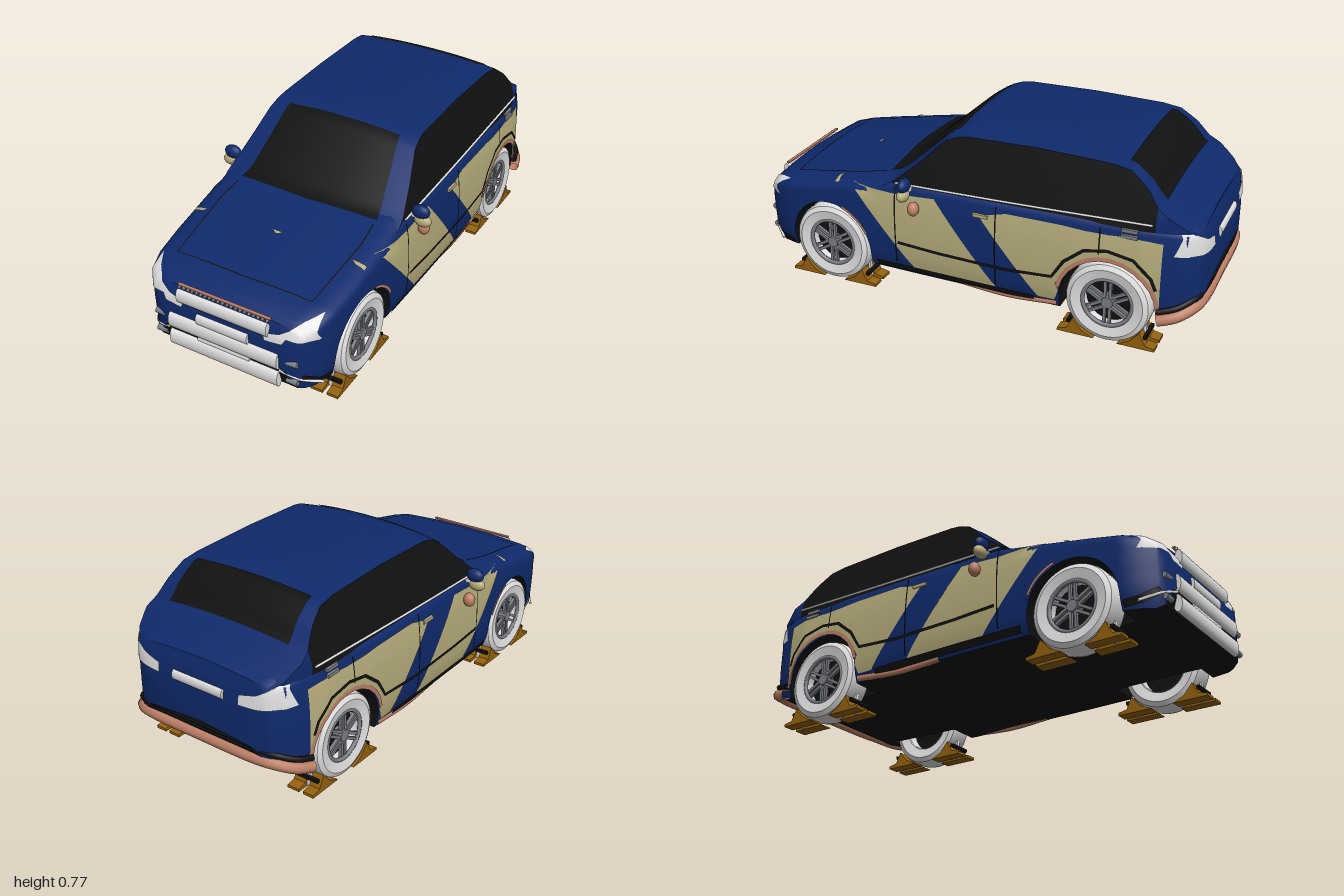
import * as THREE from 'three';
import { toCreasedNormals } from 'three/addons/utils/BufferGeometryUtils.js';

const mat = (name, color) => new THREE.MeshStandardMaterial({ name, color, side: THREE.DoubleSide });
const navy = mat('navy paint', 0x0f2a6c), black = mat('black', 0x111111), tan = mat('tan paint', 0xb8ae7c),
  white = mat('white', 0xe2e2e2), salmon = mat('salmon', 0xbe8067), gold = mat('gold', 0x94620f), grey = mat('rim grey', 0x7d8086);

// Linear lookup in a table of [key, value] with rising keys
const look = (t, k) => {
  if (k <= t[0][0]) return t[0][1];
  for (let i = 1; i < t.length; i++) if (k <= t[i][0]) {
    const [a, va] = t[i - 1], [b, vb] = t[i];
    return va + (vb - va) * (k - a) / (b - a);
  }
  return t[t.length - 1][1];
};
const WIDTH = [[-.985, .27], [-.965, .33], [-.92, .38], [-.85, .407], [-.75, .425], [-.5, .435], [-.1, .435], [.2, .432], [.5, .426], [.7, .417], [.83, .405], [.9, .385], [.96, .335], [.98, .28]];
const TOP = [[-.985, .42], [-.975, .48], [-.96, .53], [-.93, .55], [-.85, .56], [.3, .55], [.4, .53], [.6, .492], [.83, .45], [.9, .432], [.95, .405], [.97, .36], [.98, .3]];
const FLOOR = [[-.985, .25], [-.97, .2], [-.9, .16], [-.75, .12], [-.4, .11], [.8, .11], [.93, .105], [.96, .12], [.975, .17], [.98, .2]];
const SIDE = [[.1, .93], [.15, .975], [.2, .99], [.3, 1], [.4, .995], [.45, .985], [.5, .97], [.55, .94]];
const ROOF_MID = [[-.96, .535], [-.88, .585], [-.8, .64], [-.75, .705], [-.68, .752], [-.6, .764], [-.4, .772], [-.1, .772], [.05, .764], [.1, .747], [.2, .658], [.3, .572], [.34, .547], [.4, .525]];
const ROOF_EDGE = [[-.96, .5], [-.88, .562], [-.8, .615], [-.75, .68], [-.68, .733], [-.6, .746], [-.3, .755], [0, .75], [.05, .742], [.1, .72], [.2, .622], [.3, .535], [.36, .5], [.4, .48]];
const WHEEL_Z = .625, WHEEL_Y = .175, ARCH = .195;

const sideX = (y, z) => look(WIDTH, z) * look(SIDE, y);
const sideBottom = z => {
  const d = Math.abs(Math.abs(z) - WHEEL_Z);
  return d < ARCH ? WHEEL_Y + Math.sqrt(ARCH * ARCH - d * d) : look(FLOOR, z);
};

// Skin between rings of [x, y, z]
function loft(rings, crease = .6) {
  const n = rings[0].length, idx = [];
  for (let i = 0; i < rings.length - 1; i++) for (let j = 0; j < n - 1; j++) {
    const a = i * n + j, b = a + n;
    idx.push(a, b, a + 1, b, b + 1, a + 1);
  }
  const g = new THREE.BufferGeometry();
  g.setAttribute('position', new THREE.Float32BufferAttribute(rings.flat(2), 3));
  g.setIndex(idx);
  return toCreasedNormals(g, crease);
}
const mirrorRing = half => [...half, ...half.slice().reverse().map(([x, y, z]) => [-x, y, z])];

export function createModel() {
  const car = new THREE.Group();
  car.name = 'car';
  const add = (name, geo, m, parent = car) => {
    const mesh = new THREE.Mesh(geo, m);
    mesh.name = name;
    parent.add(mesh);
    return mesh;
  };
  const box = (name, m, w, h, d, x, y, z, parent) => add(name, new THREE.BoxGeometry(w, h, d).translate(x, y, z), m, parent);
  const tube = (name, m, pts, r, parent) => add(name, new THREE.TubeGeometry(
    new THREE.CatmullRomCurve3(pts.map(p => new THREE.Vector3(...p))), 40, r, 8), m, parent);

  // Stations along the body, doubled where the wheel arches begin
  const zs = [...WIDTH, ...TOP, ...FLOOR].map(p => p[0]);
  for (let z = -.95; z < .96; z += .05) zs.push(z);
  for (const c of [-WHEEL_Z, WHEEL_Z]) {
    for (let i = 0; i <= 16; i++) zs.push(c + (ARCH - .0002) * Math.cos(i * Math.PI / 16));
    zs.push(c - ARCH - .0002, c + ARCH + .0002);
  }
  const stations = [...new Set(zs)].sort((a, b) => a - b);

  // Painted shell: sides, rounded shoulders and bonnet
  const shellRing = z => {
    const top = look(TOP, z), bottom = sideBottom(z), half = [];
    const ry = Math.min(.055, (top - look(FLOOR, z)) * .45), yS = top - ry, X = sideX(yS, z), rx = z > .35 ? .1 : .07;
    for (let i = 0; i <= 9; i++) { const y = bottom + (yS - bottom) * i / 9; half.push([sideX(y, z), y, z]); }
    for (let i = 1; i <= 6; i++) {
      const a = i * Math.PI / 12;
      half.push([X - rx + rx * Math.cos(a), yS + (ry - .012) * Math.sin(a), z]);
    }
    for (let i = 1; i <= 4; i++) { const t = 1 - i / 4; half.push([(X - rx) * t, top - .012 * t * t, z]); }
    return mirrorRing(half);
  };
  const rings = stations.map(shellRing);
  const cap = r => r.map(p => [0, .27, p[2]]);
  rings.unshift(cap(rings[0]));
  rings.push(cap(rings[rings.length - 1]));
  const shell = add('bodyShell', loft(rings), navy);

  // Underbody with wheel wells
  const under = add('underbody', loft(stations.map(z => {
    const f = look(FLOOR, z), b = sideBottom(z), w = sideX(b, z), xi = Math.min(.27, w * .9);
    return mirrorRing([[w, b, z], [xi, b, z], [xi, f, z], [0, f, z]]);
  }), .3), black);

  // Cabin: roof, side glass and rear quarter panels
  const cabinX = (y, z) => Math.min(.408 - (y - .53) * .32, look(WIDTH, z) * .96);
  const range = (a, b, n) => Array.from({ length: n + 1 }, (_, i) => a + (b - a) * i / n);
  const roof = add('roof', loft(range(-.96, .4, 68).map(z => {
    const e = look(ROOF_EDGE, z), m = look(ROOF_MID, z), x = cabinX(e, z);
    return range(-1, 1, 16).map(t => [x * t, m + (e - m) * Math.pow(Math.abs(t), 2.2), z]);
  })), navy);
  const left = new THREE.Group();
  left.name = 'leftSide';
  car.add(left);
  const cabinSide = (a, b) => loft(range(a, b, 50).map(z => {
    const e = Math.max(.52, look(ROOF_EDGE, z));
    return range(.52, e, 4).map(y => [cabinX(y, z), y, z]);
  }));
  add('sideGlass', cabinSide(-.8, .315), black, left);
  add('rearQuarter', cabinSide(-.95, -.8), navy, left);

  // Thin plates laid on the body: a mesh between two outlines, cast along one axis
  const caster = new THREE.Raycaster(), targets = [shell, under, roof];
  const place = {
    side: (a, b) => [[2, b, a], [-1, 0, 0]], front: (a, b) => [[a, b, 2], [0, 0, -1]],
    rear: (a, b) => [[a, b, -2], [0, 0, 1]], top: (a, b) => [[a, 2, b], [0, -1, 0]],
  };
  function drape(name, m, view, lower, upper, parent, off = .004, rows = 8, cols = 6) {
    const at = (l, u) => {
      const i = Math.min(l.length - 2, Math.floor(u)), t = u - i;
      return [0, 1].map(k => l[i][k] + (l[i + 1][k] - l[i][k]) * t);
    };
    let depth = 1.05;
    add(name, loft(range(0, lower.length - 1, (lower.length - 1) * cols).map(u => {
      const p = at(lower, u), q = at(upper, u);
      return range(0, 1, rows).map(v => {
        const [o, d] = place[view](p[0] + (q[0] - p[0]) * v, p[1] + (q[1] - p[1]) * v);
        const origin = new THREE.Vector3(...o), dir = new THREE.Vector3(...d);
        caster.set(origin, dir);
        const hit = caster.intersectObjects(targets, false)[0];
        if (hit) depth = hit.distance;
        return origin.addScaledVector(dir, depth - off).toArray();
      });
    }), 1), m, parent);
  }
  const line = (name, m, view, pts, w, parent, off = .006) => {
    const shift = s => pts.map((p, i) => {
      const a = pts[Math.max(0, i - 1)], b = pts[Math.min(pts.length - 1, i + 1)];
      const dx = b[0] - a[0], dy = b[1] - a[1], l = Math.hypot(dx, dy);
      return [p[0] - dy / l * w * s, p[1] + dx / l * w * s];
    });
    drape(name, m, view, shift(-.5), shift(.5), parent, off, 1, 6);
  };
  const arc = (c, r, a0, a1, n) => range(a0, a1, n).map(a => [c + r * Math.cos(a), WHEEL_Y + r * Math.sin(a)]);

  // Windscreen, rear glass and bonnet seams
  drape('windscreen', black, 'top', [[-.32, .365], [0, .385], [.32, .365]], [[-.262, .07], [0, .07], [.262, .07]], car, .004, 14, 8);
  drape('rearGlass', black, 'top', [[-.285, -.655], [.285, -.655]], [[-.3, -.815], [.3, -.815]], car, .004, 12, 14);
  line('bonnetSeam', black, 'top', [[-.32, .39], [-.33, .5], [-.31, .83], [0, .84], [.31, .83], [.33, .5], [.32, .39]], .006, car, .003);
  drape('washerNozzle', tan, 'top', [[-.025, .585], [.025, .585]], [[-.005, .6], [.005, .6]], car, .005, 2, 2);
  drape('wingMarker', tan, 'top', [[.335, .585], [.4, .58]], [[.36, .6], [.4, .6]], left, .005, 3, 3);

  // Tan side panels
  drape('frontTanPanel', tan, 'side', [[.22, .145], [.05, .145], [-.155, .145]], [[.51, .485], [.3, .478], [.12, .49]], left, .004, 12);
  drape('rearTanPanel', tan, 'side',
    [[-.34, .145], [-.41, .145], [-.428, .2], [-.47, .31], [-.54, .36], [-.625, .38], [-.71, .36], [-.78, .31], [-.822, .2], [-.835, .19]],
    [[-.08, .46], [-.2, .49], [-.3, .49], [-.44, .49], [-.53, .485], [-.625, .485], [-.71, .49], [-.78, .485], [-.825, .48], [-.835, .48]], left, .004, 10, 5);

  // Side trim, seams and handles
  line('rearArchTrim', salmon, 'side', arc(-WHEEL_Z, .206, .2, 3.1, 12), .018, left, .007);
  line('frontArchTrim', salmon, 'side', arc(WHEEL_Z, .203, 1.9, 2.7, 6), .012, left, .007);
  line('sideMoulding', black, 'side', [[.29, .26], [.1, .25], [-.2, .245], [-.4, .26], [-.45, .34], [-.53, .405], [-.625, .42], [-.73, .4], [-.8, .33], [-.82, .28]], .014, left, .008);
  line('sill', black, 'side', [[.4, .135], [.1, .135], [-.32, .132]], .03, left);
  line('chinSide', black, 'side', [[.83, .13], [.9, .14], [.96, .175]], .03, left);
  for (const z of [.3, -.155, -.59]) line('doorSeam', black, 'side', [[z, z < -.5 ? .4 : .16], [z, .51]], .006, left);
  tube('beltTrim', white, [[.417, .525, .3], [.414, .535, -.2], [.408, .552, -.79]], .005, left);
  for (const [m, z, y] of [[tan, -.09, .46], [grey, -.705, .515], [grey, -.705, .492]])
    box('doorHandle', m, .012, .014, .065, sideX(y, z) + .004, y, z, left);
  tube('sillPipe', salmon, [[.4, .12, .0], [.405, .112, -.2], [.41, .13, -.42]], .014, left);

  // Lamps
  drape('headlamp', white, 'front', [[.19, .315], [.265, .322], [.28, .347], [.34, .345], [.388, .345]], [[.18, .345], [.25, .36], [.29, .385], [.33, .412], [.372, .425]], left, .006);
  drape('tailLamp', white, 'rear', [[.2, .415], [.29, .42], [.395, .43]], [[.2, .455], [.28, .475], [.37, .53]], left, .006);

  // Door mirrors
  for (const [m, x, y, z, a, b] of [[navy, .452, .54, .24, .04, .031], [tan, .462, .5, .24, .038, .027], [salmon, .45, .44, .203, .026, .031]])
    add('mirror', new THREE.SphereGeometry(1, 20, 14).scale(a, b, .024).translate(x, y, z), m, left);
  box('mirrorArm', white, .05, .02, .02, .425, .515, .235, left);

  // Front bars, fog lamps and grille comb
  const bar = (name, y, w, r, z) => add(name, new THREE.CylinderGeometry(r, r, w, 24).rotateZ(Math.PI / 2).scale(1, 1, .5).translate(0, y, z), white);
  bar('grilleBar', .365, .41, .031, .975);
  bar('badgeBar', .288, .235, .024, .982);
  bar('bumperBar', .235, .5, .036, .98);
  bar('middleBar', .187, .24, .014, .98);
  bar('lowerBar', .15, .5, .036, .98);
  bar('rearPlateBar', .43, .25, .021, -.985);
  box('grilleComb', salmon, .42, .006, .014, 0, .408, .96);
  for (const x of range(-.2, .2, 20)) box('combTooth', white, .006, .008, .01, x, .403, .968);
  for (const y of [.24, .153]) add('fogLamp', new THREE.CylinderGeometry(.013, .013, .048, 16).rotateZ(Math.PI / 2).translate(.302, y, .967), grey, left);
  tube('chinTrim', white, [[.25, .195, .98], [.33, .165, .955], [.39, .13, .89]], .006, left);

  // Rear bumper pipe with a dark line above it
  const around = y => [[.418, y - .05, -.83], [.395, y - .03, -.9], [.335, y - .005, -.955], [.26, y, -.972], [0, y, -.975]];
  const bumper = y => { const h = around(y); return [...h, ...h.slice(0, -1).reverse().map(([x, b, z]) => [-x, b, z])]; };
  tube('rearBumperPipe', salmon, bumper(.2), .024);
  tube('rearBumperLine', black, bumper(.238), .012);

  // Wheels and chocks
  const tyre = [[.108, -.05], [.15, -.06], [.17, -.05], [.176, -.03], [.176, .03], [.17, .05], [.15, .06], [.108, .052], [.104, .02], [.104, -.05]];
  const chock = new THREE.Shape([[.05, 0], [.205, 0], [.205, .012], [.165, .02], [.14, .07], [.1, .024]].map(p => new THREE.Vector2(...p)));
  for (const z of [WHEEL_Z, -WHEEL_Z]) {
    const wheel = new THREE.Group();
    wheel.name = 'wheel';
    wheel.position.set(.36, WHEEL_Y, z);
    left.add(wheel);
    add('tyre', toCreasedNormals(new THREE.LatheGeometry(tyre.map(p => new THREE.Vector2(...p)), 48).rotateZ(-Math.PI / 2), .5), white, wheel);
    add('rimRing', new THREE.TorusGeometry(.103, .009, 8, 40).rotateY(Math.PI / 2).translate(.046, 0, 0), grey, wheel);
    add('brakeDisc', new THREE.CylinderGeometry(.1, .1, .01, 32).rotateZ(Math.PI / 2), black, wheel);
    add('hub', new THREE.CylinderGeometry(.024, .028, .04, 20).rotateZ(-Math.PI / 2).translate(.032, 0, 0), grey, wheel);
    for (let i = 0; i < 6; i++) for (const s of [-.011, .011])
      add('spoke', new THREE.BoxGeometry(.014, .09, .012).translate(.04, .058, s).rotateX(i * Math.PI / 3), grey, wheel);
    for (const s of [1, -1]) {
      const g = new THREE.Group();
      g.name = 'chock';
      g.position.z = z;
      g.scale.z = s;
      left.add(g);
      for (const [x, w] of [[.29, .055], [.365, .05]])
        add('chockCheek', new THREE.ExtrudeGeometry(chock, { depth: w, bevelEnabled: false }).rotateY(-Math.PI / 2).translate(x + w, 0, 0), gold, g);
      box('chockStrap', white, .018, .085, .012, .356, .045, .15, g);
      box('chockBolt', black, .11, .014, .014, .352, .05, .162, g);
    }
  }

  // Mirror every left part to the right
  const right = left.clone();
  right.name = 'rightSide';
  right.scale.x = -1;
  car.add(right);
  return car;
}
